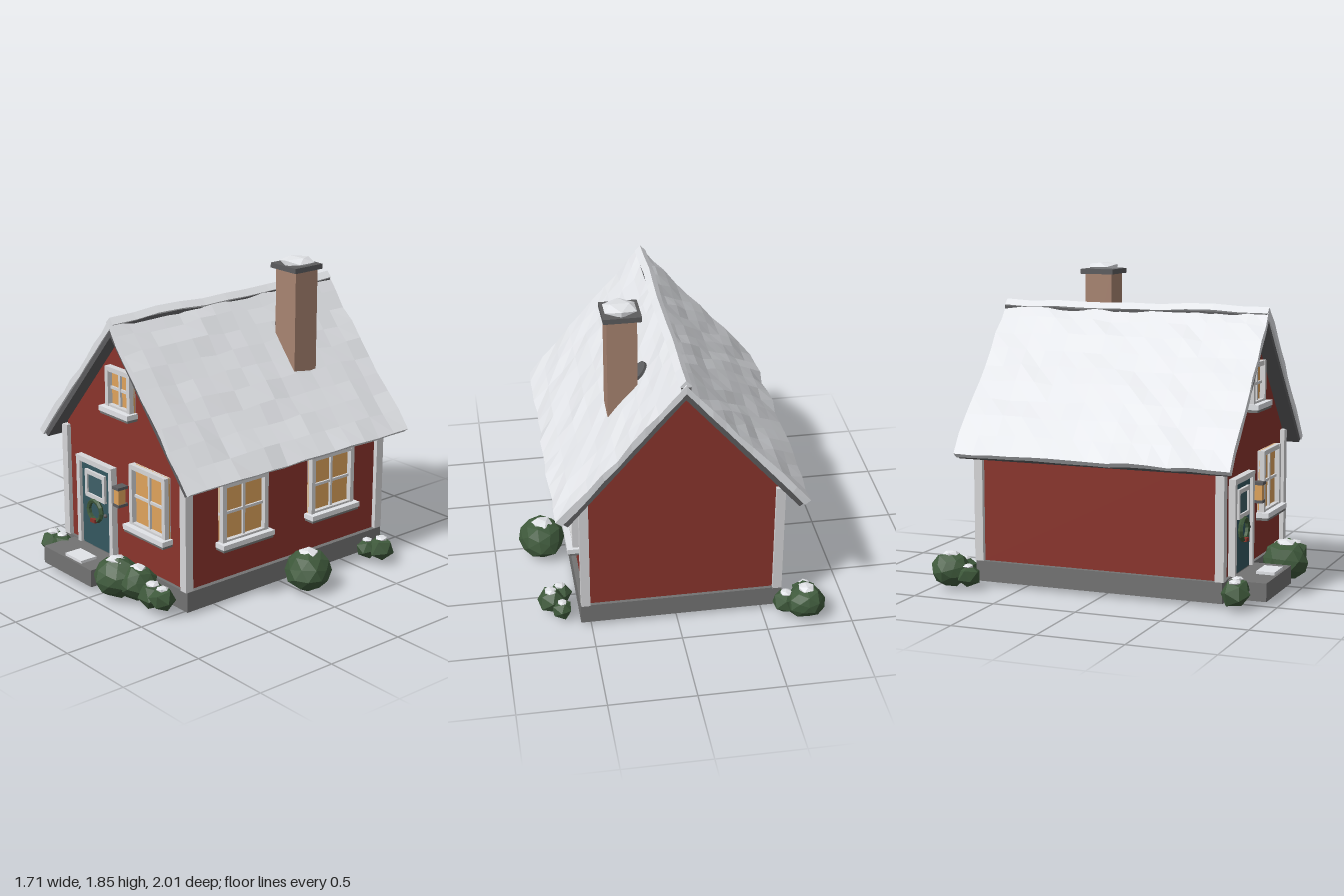
import * as THREE from 'three';

const mat = (name, color, flat = false) => {
  const m = new THREE.MeshStandardMaterial({ color });
  m.name = name;
  m.flatShading = flat;
  return m;
};

export function createModel() {
  const red = mat('red wall', 0x8a342c);
  const trim = mat('white trim', 0xd6d6d8);
  const snow = mat('snow', 0xe6e8ec, true);
  const stone = mat('grey stone', 0x737373);
  const dark = mat('dark roof', 0x5c5c5e);
  const glow = mat('lit glass', 0xdfa35c);
  const teal = mat('teal door', 0x345760);
  const pane = mat('door glass', 0x3f6068);
  const brick = mat('brick', 0xa88471);
  const green = mat('shrub green', 0x3f5a3c, true);

  const model = new THREE.Group();
  model.name = 'cottage';
  const CX = -0.03, CZ = -0.04, PEAK = 1.53, SLOPE = 1.16;

  let seed = 7;
  const rand = () => (seed = (seed * 16807) % 2147483647) / 2147483647;
  const hash = (a, b, c) => {
    const s = Math.sin(a * 127.1 + b * 311.7 + c * 74.7) * 43758.5453;
    return (s - Math.floor(s)) * 2 - 1;
  };
  const add = (parent, name, geo, material, x = 0, y = 0, z = 0) => {
    const m = new THREE.Mesh(geo, material);
    m.name = name;
    m.position.set(x, y, z);
    parent.add(m);
    return m;
  };
  // Box given by its limits on each axis
  const box = (parent, name, material, x0, x1, y0, y1, z0, z1) =>
    add(parent, name, new THREE.BoxGeometry(x1 - x0, y1 - y0, z1 - z0), material,
      (x0 + x1) / 2, (y0 + y1) / 2, (z0 + z1) / 2);

  // Foundation, gabled walls and corner boards
  box(model, 'foundation', stone, -0.62, 0.56, 0.04, 0.16, -0.8, 0.72);
  const W = 0.56, eave = PEAK - W * SLOPE;
  const gable = new THREE.Shape([[-W, 0.15], [W, 0.15], [W, eave], [0, PEAK], [-W, eave]]
    .map(([x, y]) => new THREE.Vector2(x, y)));
  add(model, 'walls', new THREE.ExtrudeGeometry(gable, { depth: 1.48, bevelEnabled: false }), red, CX, 0, -0.78);
  for (const sx of [-1, 1]) for (const sz of [-1, 1]) {
    add(model, 'cornerBoard', new THREE.BoxGeometry(0.052, 0.7, 0.052), trim, CX + sx * 0.561, 0.51, CZ + sz * 0.741);
  }

  // Roof slopes: a gridded slab bent onto the slope, the snow surface made uneven
  const slab = (lo, hi, run, depth, bump, nu, nz, salt) => {
    const g = new THREE.BoxGeometry(1, 1, depth, nu, 1, nz);
    const p = g.attributes.position;
    for (let i = 0; i < p.count; i++) {
      const u = p.getX(i) + 0.5, top = p.getY(i) > 0, z = p.getZ(i);
      const iu = Math.round(u * nu), iz = Math.round((z / depth + 0.5) * nz);
      const t = (top ? hi : lo) + (top ? bump * hash(iu, iz, salt) : 0);
      const edge = bump * 0.5 * hash(iu, iz, salt + 5);
      const cut = u * u * u;
      const x = u * run + 0.6 * t * cut + (iu === nu ? edge : 0);
      p.setXYZ(i, x, PEAK - u * run * SLOPE + t * (1 - 0.55 * cut) + (iu === nu ? edge : 0),
        z + (iz === 0 || iz === nz ? edge : 0));
    }
    g.computeVertexNormals();
    return g;
  };
  for (const side of [0, 1]) {
    const slope = new THREE.Group();
    slope.name = side ? 'leftRoof' : 'rightRoof';
    slope.position.set(CX, 0, CZ);
    slope.rotation.y = side * Math.PI;
    model.add(slope);
    const board = add(slope, 'roofBoard', slab(0, 0.05, 0.655, 1.65, 0, 1, 1, 0).toNonIndexed(), dark);
    board.geometry.computeVertexNormals();
    add(slope, 'roofSnow', slab(0.045, 0.1, 0.66, 1.67, 0.013, 9, 14, side + 1), snow);
  }

  // Ridge: dark strip with an uneven snow cap
  const ridge = new THREE.CylinderGeometry(0.042, 0.042, 1.66, 4, 10);
  ridge.rotateX(Math.PI / 2);
  const rp = ridge.attributes.position;
  for (let i = 0; i < rp.count; i++) {
    const iz = Math.round(rp.getZ(i) * 6);
    rp.setX(i, rp.getX(i) * 0.8 + 0.006 * hash(iz, 1, 2));
    rp.setY(i, rp.getY(i) * 0.8 + 0.008 * hash(iz, 3, 4));
  }
  add(model, 'ridgeSnow', ridge, snow, CX, 1.615, CZ);
  box(model, 'ridgeBoard', dark, CX - 0.026, CX + 0.026, 1.585, 1.612, -0.872, 0.785);

  // Chimney with flashing, cap and snow
  box(model, 'chimney', brick, 0.17, 0.34, 1.1, 1.81, -0.44, -0.27);
  box(model, 'chimneyCap', dark, 0.145, 0.36, 1.8, 1.83, -0.46, -0.25);
  const capSnow = add(model, 'chimneySnow', new THREE.IcosahedronGeometry(0.1, 0), snow, 0.255, 1.842, -0.355);
  capSnow.scale.set(1.05, 0.3, 1.05);
  const flash = add(model, 'flashing', new THREE.CylinderGeometry(0.06, 0.06, 0.02, 14), dark, 0.15, 1.432, -0.355);
  flash.rotation.z = -Math.atan(SLOPE);

  // Window facing +z, centred on its glass, with frame, bars and sill
  const makeWindow = (name, w, h, x, y, z, turn = 0) => {
    const g = new THREE.Group();
    g.name = name;
    const a = w / 2, b = h / 2, f = 0.028;
    box(g, 'glass', glow, -a, a, -b, b, 0.004, 0.012);
    for (const s of [-1, 1]) {
      add(g, 'frameSide', new THREE.BoxGeometry(f, h, 0.045), trim, s * (a - f / 2), 0, 0.02);
      add(g, 'frameRail', new THREE.BoxGeometry(w, f, 0.04), trim, 0, s * (b - f / 2), 0.02);
    }
    box(g, 'bar', trim, -0.008, 0.008, -b, b, 0, 0.026);
    box(g, 'crossBar', trim, -a, a, -0.008, 0.008, 0, 0.024);
    box(g, 'sill', stone, -a - 0.015, a + 0.015, -b - 0.03, -b - 0.012, 0, 0.07);
    box(g, 'sillSnow', snow, -a - 0.02, a + 0.02, -b - 0.014, -b + 0.016, 0, 0.076);
    g.position.set(x, y, z);
    g.rotation.y = turn;
    model.add(g);
  };
  makeWindow('frontWindow', 0.33, 0.38, 0.225, 0.605, 0.7);
  makeWindow('atticWindow', 0.23, 0.25, -0.035, 1.205, 0.7);
  for (const z of [0.3, -0.38]) makeWindow('sideWindow', 0.34, 0.37, 0.53, 0.565, z, Math.PI / 2);

  // Door, its surround, window, wreath and handle
  box(model, 'door', teal, -0.43, -0.14, 0.16, 0.69, 0.69, 0.72);
  for (const x of [-0.445, -0.128]) add(model, 'doorPost', new THREE.BoxGeometry(0.032, 0.54, 0.05), trim, x, 0.43, 0.715);
  box(model, 'doorLintel', trim, -0.461, -0.112, 0.68, 0.712, 0.69, 0.742);
  box(model, 'doorGlass', pane, -0.37, -0.2, 0.48, 0.63, 0.72, 0.726);
  for (const x of [-0.37, -0.2]) add(model, 'doorWindowSide', new THREE.BoxGeometry(0.022, 0.17, 0.02), trim, x, 0.555, 0.727);
  for (const y of [0.483, 0.627]) add(model, 'doorWindowRail', new THREE.BoxGeometry(0.192, 0.025, 0.02), trim, -0.285, y, 0.727);
  add(model, 'wreath', new THREE.TorusGeometry(0.062, 0.015, 5, 12), green, -0.287, 0.4, 0.735);
  box(model, 'wreathBow', red, -0.31, -0.264, 0.33, 0.352, 0.735, 0.757);
  add(model, 'doorHandle', new THREE.SphereGeometry(0.012, 8, 6), dark, -0.19, 0.395, 0.732);

  // Doorstep with a patch of snow
  box(model, 'doorstep', stone, -0.525, -0.05, 0.05, 0.155, 0.71, 0.945);
  box(model, 'stepSnow', snow, -0.325, -0.165, 0.15, 0.172, 0.82, 0.93);

  // Wall lantern
  box(model, 'lantern', glow, -0.055, -0.011, 0.525, 0.615, 0.715, 0.765);
  box(model, 'lanternTop', dark, -0.062, -0.004, 0.615, 0.632, 0.7, 0.772);
  box(model, 'lanternBase', dark, -0.06, -0.006, 0.508, 0.525, 0.7, 0.77);

  // Shrubs, each a jittered low-poly ball with a snow cap: x, y, z, radius
  const shrubs = [
    [-0.74, 0.13, -0.9, 0.105], [-0.76, 0.1, -0.78, 0.07], [-0.63, 0.11, -0.87, 0.075],
    [-0.64, 0.11, 0.8, 0.08], [-0.56, 0.12, 0.79, 0.07],
    [0.1, 0.15, 0.87, 0.125], [0.22, 0.14, 0.81, 0.105], [0.37, 0.11, 0.82, 0.085], [0.46, 0.12, 0.82, 0.075],
    [0.71, 0.135, -0.06, 0.13], [0.72, 0.11, -0.65, 0.08], [0.66, 0.09, -0.72, 0.06], [0.66, 0.11, -0.59, 0.065],
  ];
  for (const [x, y, z, r] of shrubs) {
    const g = new THREE.IcosahedronGeometry(r * 1.06, r > 0.1 ? 1 : 0);
    g.rotateY(rand() * 6).rotateX(rand() * 0.8);
    const p = g.attributes.position, v = new THREE.Vector3();
    for (let i = 0; i < p.count; i++) {
      v.fromBufferAttribute(p, i);
      const k = 1 + 0.1 * hash(Math.round(v.x * 1e3), Math.round(v.y * 1e3), Math.round(v.z * 1e3));
      p.setXYZ(i, v.x * k, v.y * k * 0.9, v.z * k);
    }
    g.computeVertexNormals();
    add(model, 'shrub', g, green, x, y, z);
    const cap = add(model, 'shrubSnow', new THREE.IcosahedronGeometry(r * 0.5, 0), snow, x, y + r * 0.82, z);
    cap.scale.y = 0.4;
    cap.rotation.y = rand() * 6;
  }
  return model;
}
